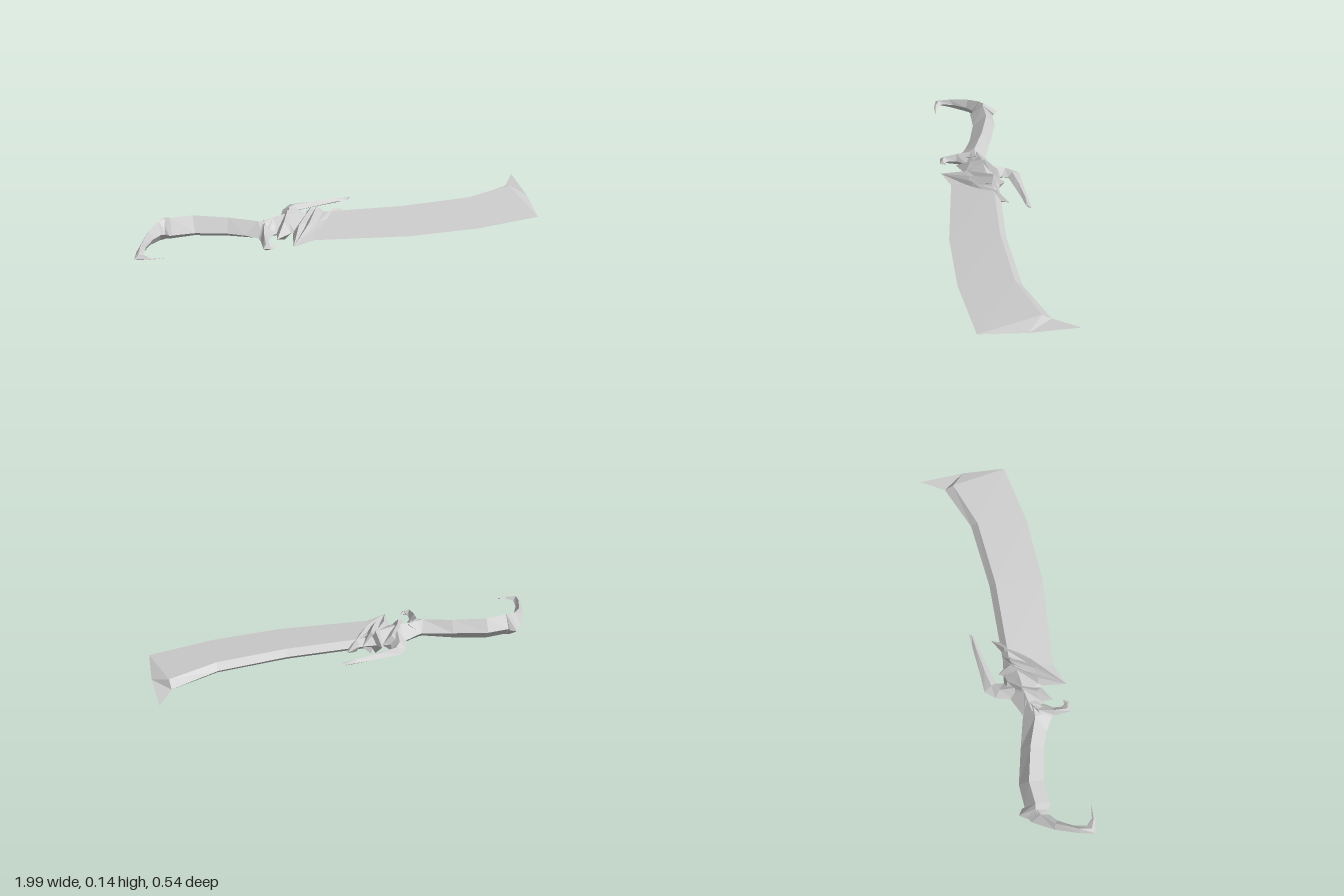
import * as THREE from 'three';

const MID = 0.075; // height of the sword's central plane

// Lofts a diamond section along a path.
// Each row: left x,z | ridge x,z | right x,z | half thickness
// (left and right are as seen from above, looking along the path).
function loft(name, rows, material) {
  const rings = rows.map(([lx, lz, cx, cz, rx, rz, h]) => [
    [lx, MID, lz], [cx, MID + h, cz], [rx, MID, rz], [cx, MID - h, cz],
  ]);
  const pos = [];
  const quad = (a, b, c, d) => pos.push(...a, ...b, ...c, ...a, ...c, ...d);
  for (let i = 0; i < rings.length - 1; i++) {
    for (let j = 0; j < 4; j++) {
      const k = (j + 1) % 4;
      quad(rings[i][j], rings[i][k], rings[i + 1][k], rings[i + 1][j]);
    }
  }
  const s = rings[0], e = rings[rings.length - 1];
  quad(s[3], s[2], s[1], s[0]);
  quad(e[0], e[1], e[2], e[3]);
  const geo = new THREE.BufferGeometry();
  geo.setAttribute('position', new THREE.Float32BufferAttribute(pos, 3));
  geo.computeVertexNormals();
  const mesh = new THREE.Mesh(geo, material);
  mesh.name = name;
  return mesh;
}

const point = (x, z) => [x, z, x, z, x, z, 0];

export function createModel() {
  const group = new THREE.Group();
  group.name = 'curvedSword';
  const steel = new THREE.MeshStandardMaterial({ color: 0xcccccc, side: THREE.DoubleSide });
  steel.name = 'paleSteel';
  const add = (name, rows) => group.add(loft(name, rows, steel));

  // Broad blade: bevelled spine at the back, long taper to the cutting edge
  add('blade', [
    [-0.13, -0.02, -0.14, 0.01, -0.25, 0.265, 0.029],
    [-0.06, -0.02, -0.06, 0.01, -0.14, 0.22, 0.029],
    [0.33, -0.015, 0.33, 0.016, 0.315, 0.257, 0.029],
    [0.68, -0.05, 0.68, -0.016, 0.66, 0.24, 0.029],
    [0.915, -0.15, 0.92, -0.105, 0.985, 0.18, 0.029],
    [0.985, -0.27, 0.997, -0.04, 0.985, 0.18, 0],
  ]);

  // Grip
  add('grip', [
    [-0.82, -0.05, -0.82, 0, -0.82, 0.07, 0.058],
    [-0.705, -0.057, -0.71, -0.01, -0.705, 0.065, 0.057],
    [-0.53, -0.015, -0.54, 0.03, -0.55, 0.095, 0.052],
    [-0.375, 0.025, -0.40, 0.08, -0.47, 0.125, 0.048],
    [-0.30, 0, -0.33, 0.08, -0.375, 0.18, 0.045],
  ]);

  // Raised collar between grip and pommel
  add('pommelCollar', [
    [-0.87, -0.055, -0.865, 0, -0.855, 0.05, 0.05],
    [-0.85, -0.083, -0.845, -0.005, -0.83, 0.07, 0.06],
    [-0.82, -0.063, -0.82, 0, -0.818, 0.072, 0.06],
  ]);

  // Pommel sweeping forward into a hooked claw
  add('pommelHook', [
    point(-0.85, 0.265),
    [-0.93, 0.268, -0.93, 0.26, -0.925, 0.252, 0.006],
    [-0.997, 0.255, -0.975, 0.24, -0.955, 0.222, 0.014],
    [-0.985, 0.19, -0.965, 0.18, -0.943, 0.16, 0.024],
    [-0.947, 0.07, -0.925, 0.075, -0.905, 0.09, 0.04],
    [-0.893, -0.03, -0.875, 0.015, -0.87, 0.058, 0.054],
    [-0.85, -0.06, -0.845, 0, -0.84, 0.055, 0.057],
  ]);

  // Finger hook under the guard
  add('guardHook', [
    point(-0.327, 0.234),
    [-0.345, 0.265, -0.35, 0.25, -0.352, 0.235, 0.01],
    [-0.392, 0.262, -0.378, 0.245, -0.36, 0.22, 0.018],
    [-0.398, 0.18, -0.38, 0.175, -0.358, 0.18, 0.032],
    [-0.42, 0.12, -0.37, 0.10, -0.325, 0.13, 0.048],
    [-0.37, 0.03, -0.31, 0.05, -0.25, 0.09, 0.05],
  ]);

  // Guard body joining grip and blade
  add('guardBody', [
    [-0.38, 0.03, -0.37, 0.07, -0.37, 0.15, 0.045],
    [-0.255, -0.03, -0.27, 0.05, -0.29, 0.13, 0.058],
    [-0.18, -0.035, -0.18, 0.04, -0.22, 0.15, 0.05],
    [-0.08, -0.02, -0.08, 0.02, -0.13, 0.13, 0.04],
  ]);

  // Ridged plate across the guard
  add('guardPlate', [
    point(-0.318, 0.185),
    [-0.315, 0.12, -0.275, 0.11, -0.245, 0.14, 0.052],
    [-0.30, 0.05, -0.25, 0.04, -0.20, 0.06, 0.072],
    [-0.24, -0.04, -0.20, -0.02, -0.16, 0, 0.045],
    point(-0.15, -0.03),
  ]);

  // Fan of spikes spreading from the forward tip of the guard
  add('fanSpikeInner', [
    point(-0.25, 0.267),
    [-0.235, 0.13, -0.205, 0.13, -0.165, 0.14, 0.038],
    [-0.175, 0.005, -0.125, 0.005, -0.09, 0.02, 0.064],
    point(-0.142, -0.055),
  ]);
  add('fanSpikeMiddle', [
    point(-0.25, 0.267),
    [-0.19, 0.12, -0.155, 0.125, -0.12, 0.135, 0.04],
    [-0.14, 0.03, -0.10, 0.008, -0.055, 0.03, 0.065],
    point(-0.05, -0.02),
  ]);
  add('fanSpikeOuter', [
    point(-0.25, 0.267),
    [-0.14, 0.11, -0.11, 0.115, -0.09, 0.122, 0.036],
    [-0.05, -0.005, -0.02, -0.005, 0.015, 0.005, 0.034],
    point(0.038, -0.058),
  ]);

  // Back spur: rises from the guard, then runs along the spine
  add('backSpur', [
    [-0.285, 0, -0.24, 0.01, -0.17, 0.01, 0.045],
    [-0.26, -0.09, -0.23, -0.065, -0.192, -0.04, 0.028],
    [-0.22, -0.138, -0.20, -0.10, -0.185, -0.075, 0.02],
    [-0.13, -0.143, -0.11, -0.12, -0.085, -0.102, 0.016],
    [0.02, -0.157, 0.02, -0.142, 0.02, -0.128, 0.012],
    [0.093, -0.163, 0.085, -0.15, 0.075, -0.138, 0.003],
  ]);

  return group;
}
